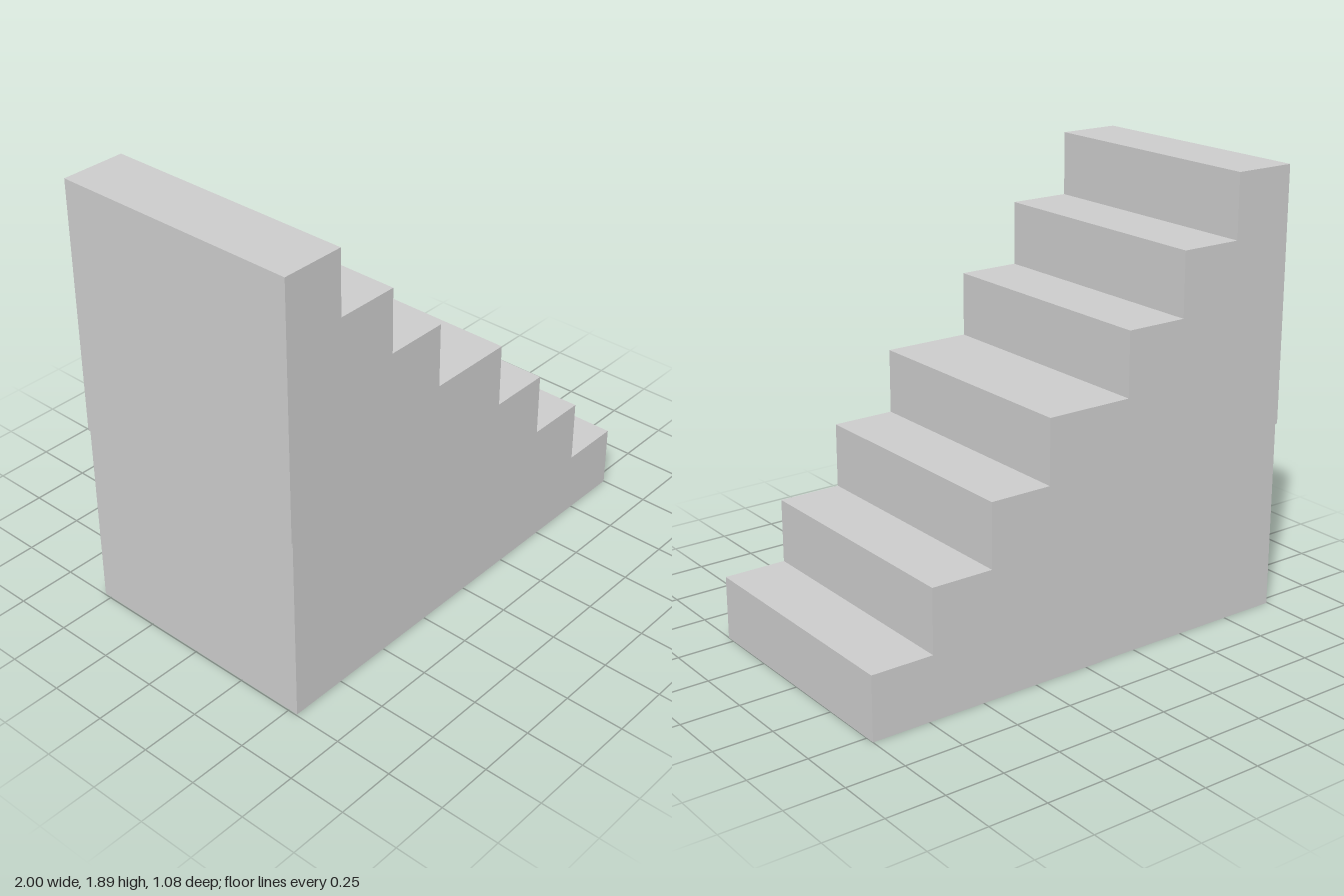
import * as THREE from 'three';

const STEP = 0.27;   // rise and tread
const WIDTH = 1.08;  // stair width along z

export function createModel() {
  const model = new THREE.Group();
  model.name = 'staircase';
  const material = new THREE.MeshStandardMaterial({ color: 0xcccccc, flatShading: true });

  // Solid flight of four steps, climbing from xStart towards -x, ending at xEnd
  function flight(name, xStart, xEnd, yBase, firstTread) {
    const shape = new THREE.Shape();
    shape.moveTo(xEnd, yBase);
    shape.lineTo(xStart, yBase);
    let x = xStart;
    for (let i = 1; i <= 4; i++) {
      const y = yBase + i * STEP;
      shape.lineTo(x, y);
      x = i === 4 ? xEnd : x - (i === 1 ? firstTread : STEP);
      shape.lineTo(x, y);
    }
    shape.closePath();
    const geometry = new THREE.ExtrudeGeometry(shape, { depth: WIDTH, bevelEnabled: false });
    geometry.translate(0, 0, -WIDTH / 2);
    const mesh = new THREE.Mesh(geometry, material);
    mesh.name = name;
    model.add(mesh);
  }

  // Two flights meeting at the wide middle tread
  flight('lowerFlight', 1, -0.08, 0, STEP);
  flight('upperFlight', -0.08, -1, 3 * STEP, 0.11);

  // Support block under the upper flight, set in slightly at the back and end
  const inset = 0.005;
  const length = 0.92 - inset;
  const depth = WIDTH - inset;
  const block = new THREE.Mesh(new THREE.BoxGeometry(length, 3 * STEP, depth), material);
  block.name = 'supportBlock';
  block.position.set(-0.08 - length / 2, 1.5 * STEP, inset / 2);
  model.add(block);

  return model;
}
